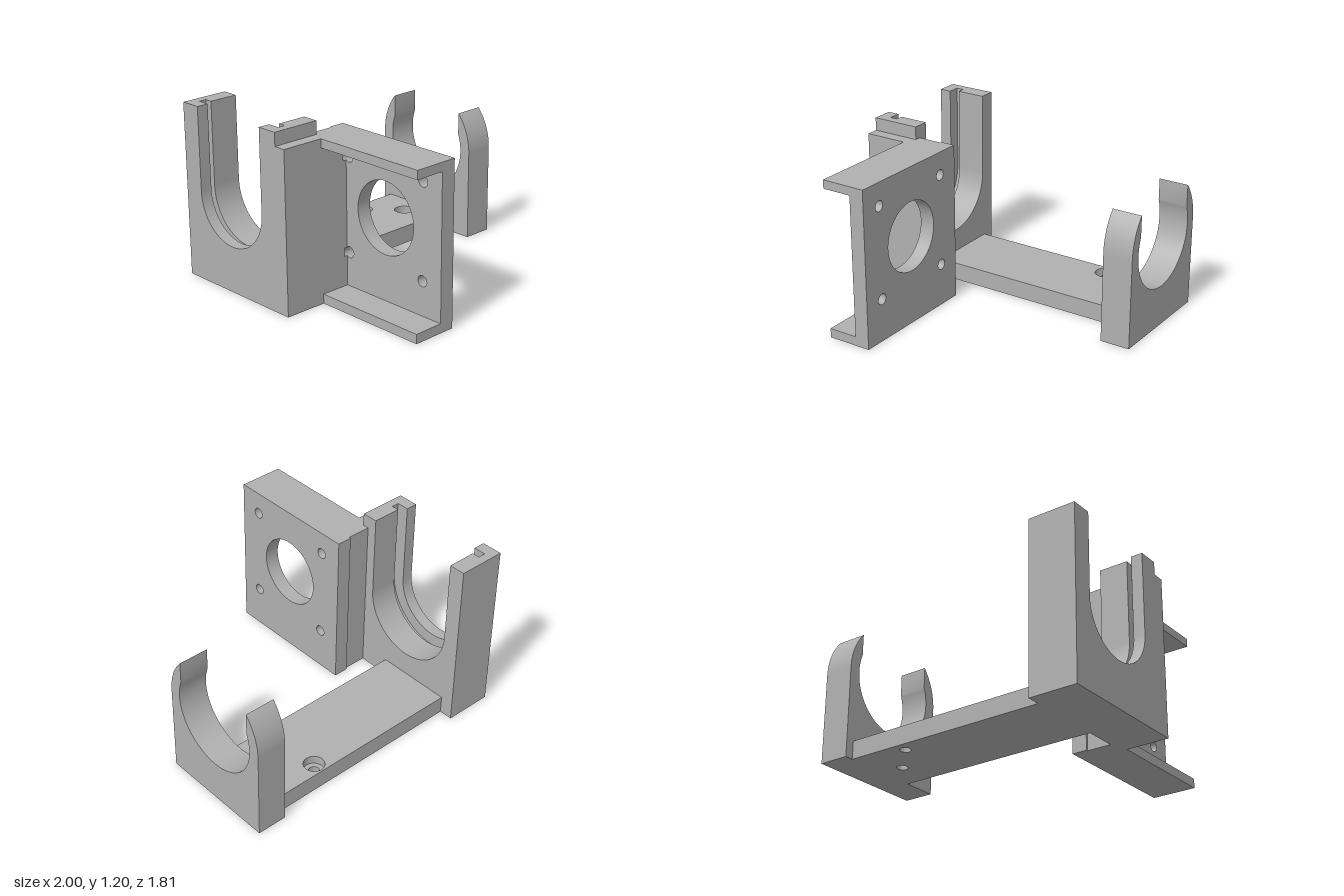
import * as THREE from 'three';
import { toCreasedNormals } from 'three/addons/utils/BufferGeometryUtils.js';

const CZ = 0.456, CY = 0.625; // cradle axis, measured towards the back (-z) and up

export function createModel() {
  const group = new THREE.Group();
  const grey = new THREE.MeshStandardMaterial({ color: 0xb0b0b0 });
  grey.name = 'grey plastic';

  const add = (name, geometry) => {
    const mesh = new THREE.Mesh(geometry, grey);
    mesh.name = name;
    group.add(mesh);
  };
  const box = (name, x0, x1, y0, y1, z0, z1) => add(name,
    new THREE.BoxGeometry(x1 - x0, y1 - y0, z1 - z0)
      .translate((x0 + x1) / 2, (y0 + y1) / 2, (z0 + z1) / 2));
  const extrude = (shape, depth) => new THREE.ExtrudeGeometry(shape, { depth, bevelEnabled: false, curveSegments: 40 });
  // Side profile drawn in (-z, y), extruded along x
  const slab = (name, shape, x0, x1) => add(name,
    toCreasedNormals(extrude(shape, x1 - x0).rotateY(Math.PI / 2).translate(x0, 0, 0), 0.5));
  const rect = (a0, b0, a1, b1) => new THREE.Shape([
    new THREE.Vector2(a0, b0), new THREE.Vector2(a1, b0), new THREE.Vector2(a1, b1), new THREE.Vector2(a0, b1)]);
  const hole = (shape, a, b, r) => shape.holes.push(new THREE.Path().absarc(a, b, r, 0, Math.PI * 2, true));

  // Tall cradle: U-shaped slots with a wider retaining groove
  const uBlock = (name, r, x0, x1) => {
    const s = new THREE.Shape();
    s.moveTo(0.005, 0);
    s.lineTo(0.907, 0);
    s.lineTo(0.907, 1.2);
    s.lineTo(CZ + r, 1.2);
    s.lineTo(CZ + r, CY);
    s.absarc(CZ, CY, r, 0, Math.PI, true);
    s.lineTo(CZ - r, 1.2);
    s.lineTo(0.005, 1.2);
    s.closePath();
    slab(name, s, x0, x1);
  };
  uBlock('cradleOuterLip', 0.304, -1, -0.918);
  uBlock('cradleGroove', 0.39, -0.918, -0.865);
  uBlock('cradleBody', 0.337, -0.865, -0.66);

  // Open snap clip at the other end
  const R = 0.417, r = 0.337, top = 0.9;
  const a = Math.asin((top - CY) / R), w = R * Math.cos(a), b = Math.acos(w / r);
  const clip = new THREE.Shape();
  clip.moveTo(CZ - R, 0);
  clip.lineTo(CZ + R, 0);
  clip.lineTo(CZ + R, CY);
  clip.absarc(CZ, CY, R, 0, a, false);
  clip.lineTo(CZ + w, CY + r * Math.sin(b));
  clip.absarc(CZ, CY, r, b, Math.PI - b, true);
  clip.lineTo(CZ - w, top);
  clip.absarc(CZ, CY, R, Math.PI - a, Math.PI, false);
  clip.closePath();
  slab('snapClip', clip, 0.79, 1);

  // Base bar with two counterbored screw holes
  for (const [name, radius, y0, y1] of [['baseLower', 0.037, 0, 0.065], ['baseUpper', 0.07, 0.065, 0.125]]) {
    const s = rect(-0.66, 0.275, 0.79, 0.813);
    hole(s, 0.42, 0.73, radius);
    hole(s, 0.63, 0.515, radius);
    add(name, toCreasedNormals(extrude(s, y1 - y0).rotateX(-Math.PI / 2).translate(0, y0, 0), 0.5));
  }

  // Mounting plate with a large bore and four screw holes
  const holeR = 0.0375, holeZ = 0.102, wallZ = 0.078, holeYs = [0.3, 0.95];
  const plate = rect(-0.907, 0, 0.062, 1.11);
  hole(plate, -0.427, CY, 0.245);
  for (const y of holeYs) for (const z of [holeZ, 0.75]) hole(plate, -z, y, holeR);
  slab('mountingPlate', plate, -0.49, -0.385);

  // Stiffening flanges along the plate
  box('topFlange', -0.7, -0.49, 1.05, 1.11, wallZ, 0.907);
  box('bottomFlange', -0.7, -0.49, 0, 0.065, wallZ, 0.907);

  // Wall joining plate and cradle, nicked by the screw holes
  box('cradleFrontWall', -1, -0.66, 0, 1.11, -0.005, wallZ);
  box('joiningWall', -0.66, -0.515, 0, 1.11, -0.05, wallZ);
  const nick = Math.acos((holeZ - wallZ) / holeR), dy = holeR * Math.sin(nick);
  const wall = new THREE.Shape();
  wall.moveTo(-wallZ, 0);
  for (const y of holeYs) {
    wall.lineTo(-wallZ, y - dy);
    wall.absarc(-holeZ, y, holeR, -nick, nick, false);
  }
  wall.lineTo(-wallZ, 1.11);
  wall.lineTo(0.05, 1.11);
  wall.lineTo(0.05, 0);
  wall.closePath();
  slab('nickedWall', wall, -0.515, -0.49);

  return group;
}
